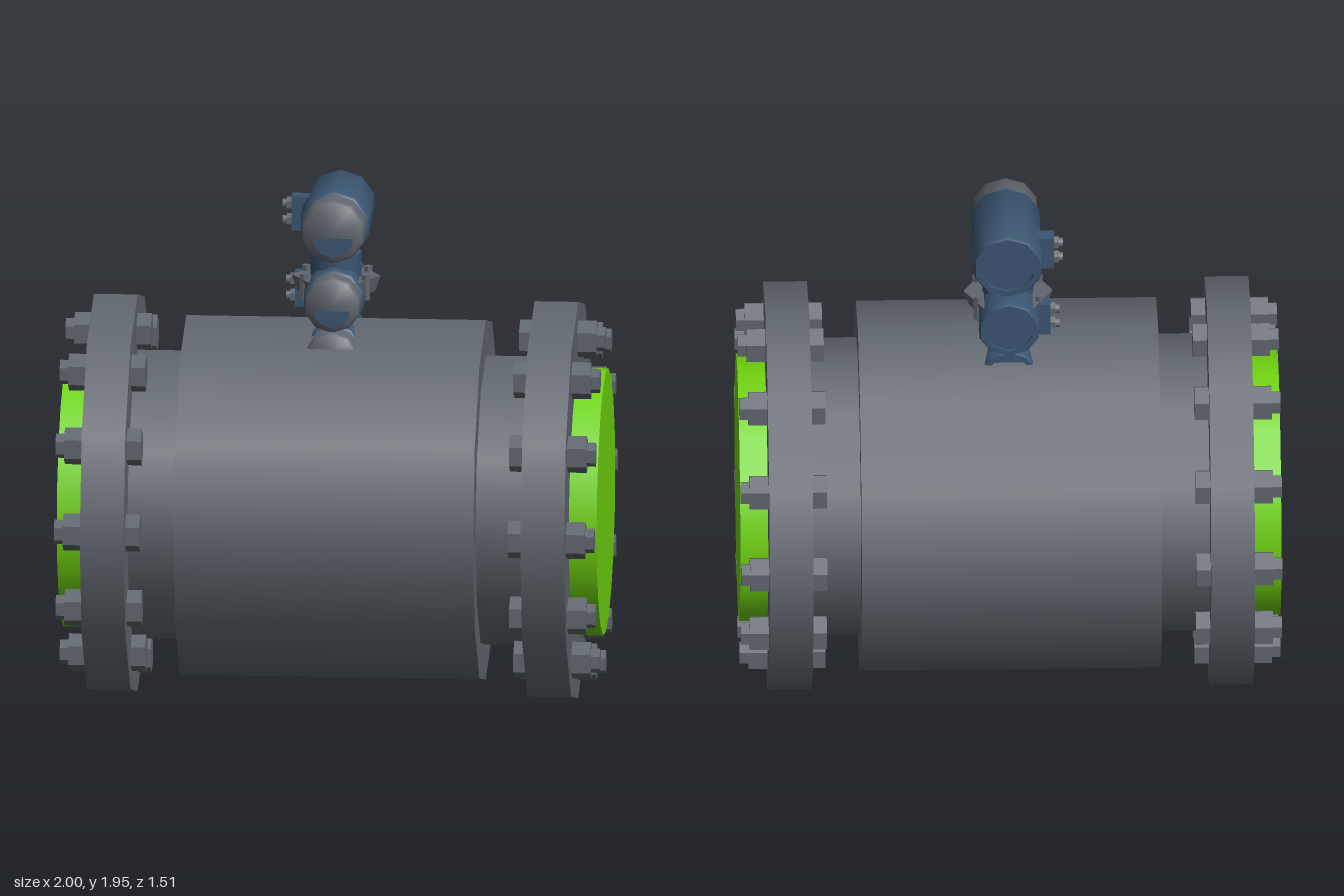
import * as THREE from 'three';
import { toCreasedNormals } from 'three/addons/utils/BufferGeometryUtils.js';

const mat = (name, color) => Object.assign(new THREE.MeshStandardMaterial({ color }), { name });

export function createModel() {
  const grey = mat('castGrey', 0x60666e);
  const green = mat('linerGreen', 0x70d40f);
  const blue = mat('housingBlue', 0x3a5570);
  const root = new THREE.Group();
  const AXIS = 0.755; // height of the pipe axis

  const add = (parent, name, geo, material, x = 0, y = 0, z = 0) => {
    const m = new THREE.Mesh(geo, material);
    m.name = name;
    m.position.set(x, y, z);
    parent.add(m);
    return m;
  };
  // cylinder lying along x, between x0 and x1
  const barX = (r, x0, x1, sides) =>
    new THREE.CylinderGeometry(r, r, x1 - x0, sides).rotateZ(-Math.PI / 2).translate((x0 + x1) / 2, 0, 0);
  // hexagonal prism along x with a corner on top and crisp edges
  const hexX = (r, x0, x1) => toCreasedNormals(barX(r, x0, x1, 6).rotateX(Math.PI / 2), 0.5);
  // ten-sided turned part along z, profile given as [radius, z]
  const turnedZ = (profile) => toCreasedNormals(
    new THREE.LatheGeometry(profile.map(([r, z]) => new THREE.Vector2(r, z)), 10).rotateX(Math.PI / 2), 1.0);

  // Pipe body
  add(root, 'pipeBody', barX(0.685, -0.555, 0.555, 12), grey, 0, 0.75);
  add(root, 'pipeNeck', barX(0.55, -0.76, 0.76, 12), grey, 0, 0.75);

  // Flanges, liner ends and the ring of bolts, mirrored by a half turn
  const flangeGeo = barX(0.755, 0.735, 0.897, 12);
  const linerGeo = barX(0.495, 0.85, 1.0, 20);
  const nutGeo = hexX(0.07, 0.89, 0.967);
  const boltEndGeo = hexX(0.046, 0.96, 1.0);
  const backNutGeo = hexX(0.07, 0.682, 0.74);
  for (const side of [1, -1]) {
    const end = new THREE.Group();
    end.name = side > 0 ? 'leftFlangeEnd' : 'rightFlangeEnd';
    end.rotation.y = side > 0 ? 0 : Math.PI;
    add(end, 'flange', flangeGeo, grey, 0, AXIS);
    add(end, 'linerEnd', linerGeo, green, 0, 0.75);
    for (let i = 0; i < 12; i++) {
      const a = (i * Math.PI) / 6;
      const y = AXIS + 0.615 * Math.cos(a), z = 0.615 * Math.sin(a);
      add(end, 'nut', nutGeo, grey, 0, y, z);
      add(end, 'boltEnd', boltEndGeo, grey, 0, y, z);
      add(end, 'backNut', backNutGeo, grey, 0, y, z);
    }
    root.add(end);
  }

  // Electronics housing: blue barrel with recessed back, grey screw cap
  const housing = (name, x, y, r, back, joint, front) => {
    const g = new THREE.Group();
    g.name = name;
    g.position.set(x, y, 0);
    add(g, 'barrel', turnedZ([
      [0, back + 0.012], [r * 0.78, back + 0.012], [r * 0.78, back], [r * 0.95, back],
      [r, back + 0.01], [r, joint - 0.008], [r * 0.95, joint], [0, joint],
    ]), blue);
    add(g, 'cap', turnedZ([
      [r * 0.92, joint - 0.01], [r * 0.92, front - 0.01], [r * 0.85, front], [0, front],
    ]), grey);
    root.add(g);
    return g;
  };
  // Display window, a flat-topped segment on the cap
  const display = (g, r, front) => {
    const s = new THREE.Shape([
      [-0.56, -0.18], [-0.54, -0.38], [-0.36, -0.62], [0, -0.74], [0.36, -0.62], [0.54, -0.38], [0.56, -0.18],
    ].map(([x, y]) => new THREE.Vector2(x * r, y * r)));
    add(g, 'displayWindow', new THREE.ShapeGeometry(s), blue, 0, 0, front + 0.003);
  };
  display(housing('upperHousing', 0.005, 1.82, 0.131, -0.2, 0.15, 0.243), 0.131, 0.243);
  display(housing('lowerHousing', 0, 1.535, 0.115, -0.183, 0.14, 0.22), 0.115, 0.22);
  housing('baseHousing', 0, 1.33, 0.113, -0.183, 0.14, 0.235);

  // Stem joining the two housings
  add(root, 'stem', new THREE.CylinderGeometry(0.095, 0.095, 0.13, 12), blue, 0, 1.625);
  add(root, 'stemShoulder', new THREE.CylinderGeometry(0.04, 0.095, 0.04, 12), blue, 0, 1.71);

  // Hexagonal clamp collar with its bolts
  const collar = new THREE.CylinderGeometry(0.165, 0.145, 0.06, 6).rotateY(Math.PI / 2);
  add(root, 'clampCollar', toCreasedNormals(collar, 0.5), grey, 0, 1.568);
  const pin = toCreasedNormals(new THREE.CylinderGeometry(0.017, 0.017, 0.095, 6), 0.5);
  for (const x of [-0.115, 0.115])
    for (const z of [-0.068, 0.068]) add(root, 'collarBolt', pin, grey, x, 1.57, z);

  // Cable entries: blue block with two grey glands on the right-hand side
  for (const [name, y, x0] of [['upperCableEntry', 1.818, -0.168], ['lowerCableEntry', 1.53, -0.155]]) {
    const g = new THREE.Group();
    g.name = name;
    g.position.set(0, y, -0.07);
    add(g, 'entryBlock', new THREE.BoxGeometry(0.11, 0.13, 0.06), blue, x0 + 0.055);
    for (const dy of [-0.031, 0.031]) {
      add(g, 'gland', hexX(0.026, x0 - 0.018, x0 + 0.01), grey, 0, dy);
      add(g, 'glandTip', barX(0.018, x0 - 0.034, x0 - 0.015, 8), grey, 0, dy);
    }
    root.add(g);
  }
  return root;
}
